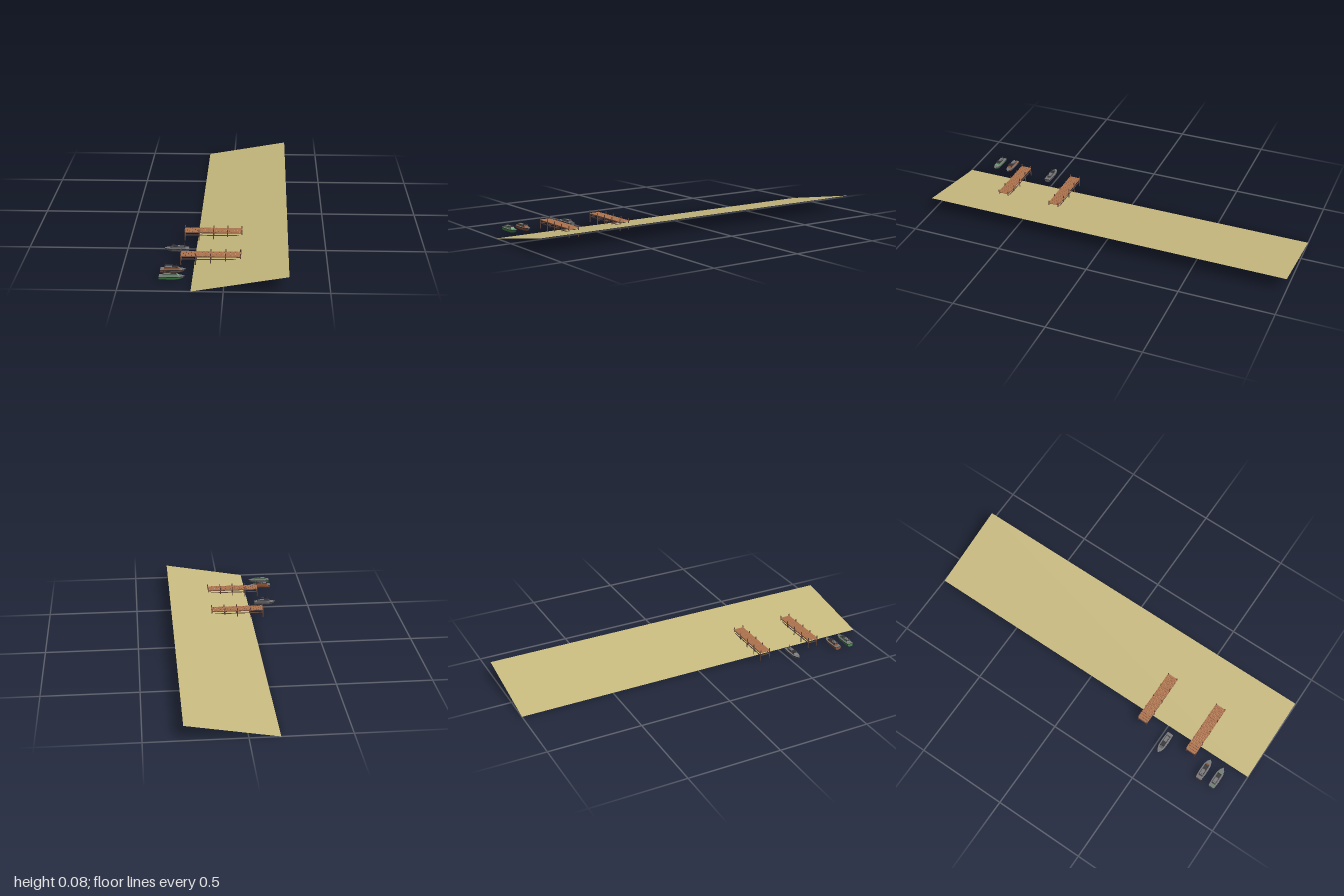
import * as THREE from 'three';

const mat = (name, color) => {
  const m = new THREE.MeshStandardMaterial({ color, flatShading: true });
  m.name = name;
  return m;
};

export function createModel() {
  const M = {
    sand: mat('sand', 0xc9bb80),
    plank: mat('plank wood', 0xb0744e),
    post: mat('post wood', 0x654a40),
    green: mat('green hull', 0x45904a),
    paleGreen: mat('pale green cabin', 0x6fa274),
    brown: mat('brown hull', 0x93583a),
    grey: mat('grey hull', 0x66666a),
    deck: mat('deck grey', 0x77777a),
    dark: mat('dark trim', 0x333336),
  };
  M.sand.side = THREE.DoubleSide;

  const root = new THREE.Group();
  root.name = 'beachWithDocks';

  const add = (parent, geo, material, name, x = 0, y = 0, z = 0) => {
    const mesh = new THREE.Mesh(geo, material);
    mesh.name = name;
    mesh.position.set(x, y, z);
    parent.add(mesh);
    return mesh;
  };
  const box = (parent, w, h, d, material, name, x, y, z) =>
    add(parent, new THREE.BoxGeometry(w, h, d), material, name, x, y, z);
  // thin rod between two points
  const rod = (parent, a, b, r, material, name) => {
    const p = new THREE.Vector3(...a), q = new THREE.Vector3(...b);
    const dir = q.clone().sub(p);
    const mesh = add(parent, new THREE.CylinderGeometry(r, r, dir.length(), 6), material, name);
    mesh.position.copy(p).add(q).multiplyScalar(0.5);
    mesh.quaternion.setFromUnitVectors(new THREE.Vector3(0, 1, 0), dir.normalize());
  };

  // Sloping beach, rising towards +x
  const sand = new THREE.PlaneGeometry(0.46, 2).rotateX(-Math.PI / 2);
  const sp = sand.attributes.position;
  for (let i = 0; i < sp.count; i++) sp.setY(i, sp.getX(i) > 0 ? 0.08 : 0);
  sand.computeVertexNormals();
  add(root, sand, M.sand, 'beach', 0.077, 0, 0);

  // Dock: posts, beams and slightly uneven planks
  function dock(z) {
    const g = new THREE.Group();
    g.name = 'dock';
    g.position.z = z;
    root.add(g);
    for (let i = 0; i < 5; i++) {
      const x = -0.2185 + i * 0.0731;
      for (const s of [-1, 1])
        add(g, new THREE.CylinderGeometry(0.0026, 0.0026, 0.061, 8), M.post, 'post', x, 0.0355, s * 0.0275);
      box(g, 0.004, 0.004, 0.055, M.post, 'crossBeam', x, 0.035, 0);
    }
    for (const s of [-1, 1]) {
      box(g, 0.293, 0.004, 0.003, M.post, 'lowerRail', -0.0723, 0.035, s * 0.0275);
      box(g, 0.293, 0.004, 0.003, M.post, 'deckBeam', -0.0723, 0.0485, s * 0.0275);
    }
    const n = 22, pitch = 0.298 / n;
    for (let i = 0; i < n; i++) {
      const p = box(g, pitch * 0.9, 0.003, 0.06, M.plank, 'plank', -0.221 + (i + 0.5) * pitch, 0.052, 0);
      p.rotation.z = 0.05 * Math.sin(i * 2.4);
    }
  }
  dock(0.375);
  dock(0.68);

  // Half outline of a boat, stern to bow: [x, half width]
  const outline = [[-0.0615, 0.017], [-0.02, 0.02], [0.025, 0.019], [0.048, 0.012], [0.0625, 0.0005]];
  const ring = (y, width, bow, inset = 0) => {
    const half = outline.map(([x, w]) => [
      x > 0 ? x * bow - inset : x + inset, y, Math.max(w * width - inset, 0.0004)]);
    return [...half, ...half.map(([x, h, w]) => [x, h, -w]).reverse()];
  };
  // Skin between stacked rings, optionally closed at either end
  function loft(rings, capBottom, capTop) {
    const v = [], n = rings[0].length;
    const tri = (a, b, c) => v.push(...a, ...b, ...c);
    for (let k = 0; k + 1 < rings.length; k++) {
      for (let i = 0; i < n; i++) {
        const j = (i + 1) % n, a = rings[k], b = rings[k + 1];
        tri(a[i], a[j], b[j]);
        tri(a[i], b[j], b[i]);
      }
    }
    const cap = (r, up) => {
      for (let i = 0; i < n / 2 - 1; i++) {
        const q = [r[i], r[i + 1], r[n - 2 - i], r[n - 1 - i]];
        if (!up) q.reverse();
        tri(q[0], q[1], q[2]);
        tri(q[0], q[2], q[3]);
      }
    };
    if (capBottom) cap(rings[0], false);
    if (capTop) cap(rings[rings.length - 1], true);
    const geo = new THREE.BufferGeometry();
    geo.setAttribute('position', new THREE.Float32BufferAttribute(v, 3));
    geo.computeVertexNormals();
    return geo;
  }

  // Motor boat, bow towards +x
  function boat(name, hull, cabin, x, z, turn) {
    const g = new THREE.Group();
    g.name = name;
    g.position.set(x, 0, z);
    g.rotation.y = turn;
    root.add(g);
    add(g, loft([ring(0.004, 0.62, 0.62), ring(0.010, 0.88, 0.86), ring(0.018, 1, 0.98)], true, false), hull, 'hull');
    add(g, loft([ring(0.018, 1, 1), ring(0.0212, 1, 1)], false, false), M.dark, 'gunwale');
    add(g, loft([ring(0.0205, 1, 1), ring(0.0214, 1, 1, 0.001)], false, true), M.deck, 'deck');

    // cabin with raked front
    const side = new THREE.Shape([
      [-0.044, 0.021], [0.034, 0.021], [0.022, 0.031], [-0.042, 0.031],
    ].map(p => new THREE.Vector2(...p)));
    add(g, new THREE.ExtrudeGeometry(side, { depth: 0.021, bevelEnabled: false }), cabin, 'cabin', 0, 0, -0.0105);
    box(g, 0.066, 0.0012, 0.023, M.dark, 'cabinRoofTrim', -0.01, 0.0313, 0);
    box(g, 0.034, 0.001, 0.018, M.deck, 'roofPanel', -0.022, 0.0322, 0);

    // windscreen frame, handrails and mast
    for (const s of [-1, 1]) {
      const w = s * 0.0095;
      rod(g, [0.018, 0.039, w], [0.03, 0.0225, w], 0.0006, M.dark, 'windscreenPost');
      rod(g, [-0.038, 0.031, w], [-0.038, 0.039, w], 0.0005, M.dark, 'canopyPost');
      rod(g, [-0.038, 0.039, w], [0.018, 0.039, w], 0.0005, M.dark, 'canopyRail');
    }
    rod(g, [0.018, 0.039, -0.0095], [0.018, 0.039, 0.0095], 0.0006, M.dark, 'windscreenTop');
    rod(g, [-0.037, 0.031, 0], [-0.037, 0.046, 0], 0.0013, M.dark, 'mast');
    rod(g, [-0.037, 0.046, 0], [-0.039, 0.055, 0], 0.0005, M.dark, 'antenna');
  }
  boat('greenBoat', M.green, M.paleGreen, -0.25, 0.87, 0);
  boat('brownBoat', M.brown, M.brown, -0.25, 0.79, 0);
  boat('greyBoat', M.grey, M.grey, -0.25, 0.535, Math.PI);

  return root;
}
